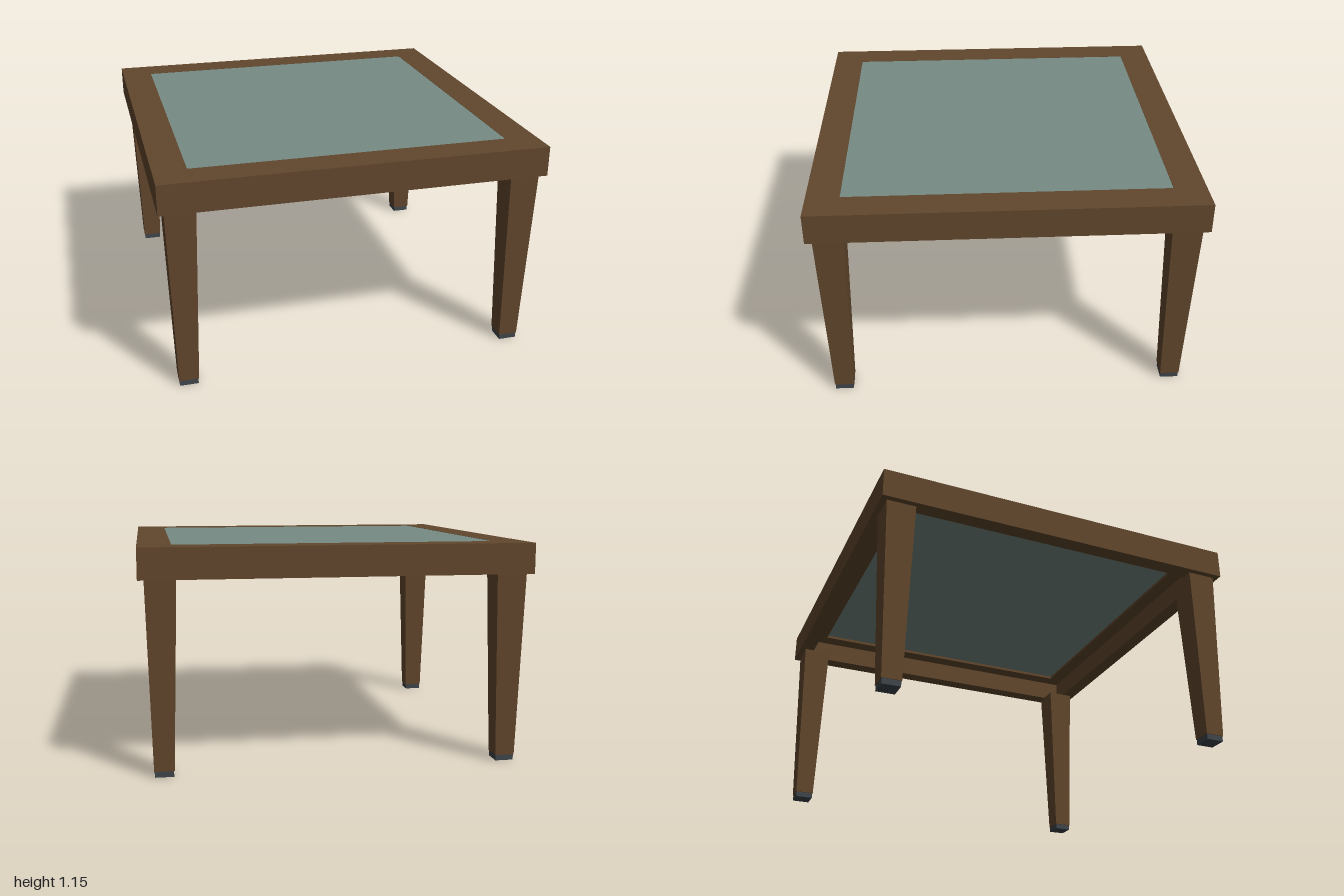
import * as THREE from 'three';

const wood = new THREE.MeshStandardMaterial({ color: 0x62472d });
wood.name = 'brown wood';
const glass = new THREE.MeshStandardMaterial({ color: 0x768b83 });
glass.name = 'grey green glass';
const rubber = new THREE.MeshStandardMaterial({ color: 0x3f454a });
rubber.name = 'dark foot pad';

const BOTTOM = 0.995, LEDGE = 1.115, TOP = 1.153;

function add(parent, name, geometry, material, x = 0, y = 0, z = 0) {
  const mesh = new THREE.Mesh(geometry, material);
  mesh.name = name;
  mesh.position.set(x, y, z);
  parent.add(mesh);
  return mesh;
}

// Board along the +z side with mitred ends, standing on y = 0
function mitredBoard(outer, inner, height) {
  const shape = new THREE.Shape([
    new THREE.Vector2(-outer, -outer), new THREE.Vector2(outer, -outer),
    new THREE.Vector2(inner, -inner), new THREE.Vector2(-inner, -inner),
  ]);
  return new THREE.ExtrudeGeometry(shape, { depth: height, bevelEnabled: false }).rotateX(-Math.PI / 2);
}

// Square post that narrows evenly towards its foot
function taperedPost(topWidth, bottomWidth, height) {
  const r = Math.SQRT1_2;
  return new THREE.CylinderGeometry(topWidth * r, bottomWidth * r, height, 4, 1)
    .rotateY(Math.PI / 4).toNonIndexed();
}

export function createModel() {
  const table = new THREE.Group();
  table.name = 'table';

  // Frame: a deep apron under a wider, thinner top border
  const apron = mitredBoard(1, 0.915, LEDGE - BOTTOM);
  const border = mitredBoard(1, 0.83, TOP - LEDGE);
  for (let i = 0; i < 4; i++) {
    const side = new THREE.Group();
    side.name = 'frameSide';
    side.rotation.y = i * Math.PI / 2;
    add(side, 'apron', apron, wood, 0, BOTTOM, 0);
    add(side, 'topBorder', border, wood, 0, LEDGE, 0);
    table.add(side);
  }

  // Glass pane set flush into the border
  add(table, 'glassPane', new THREE.BoxGeometry(1.66, 0.02, 1.66), glass, 0, TOP - 0.011, 0);

  // Tapered legs with foot pads
  const post = taperedPost(0.156, 0.102, BOTTOM - 0.03);
  post.computeVertexNormals();
  const pad = new THREE.BoxGeometry(0.096, 0.03, 0.096);
  for (const x of [-1, 1]) for (const z of [-1, 1]) {
    const leg = new THREE.Group();
    leg.name = (z > 0 ? 'front' : 'back') + (x > 0 ? 'Left' : 'Right') + 'Leg';
    leg.position.set(x * 0.891, 0, z * 0.891);
    add(leg, 'post', post, wood, 0, (BOTTOM + 0.03) / 2, 0);
    add(leg, 'footPad', pad, rubber, 0, 0.015, 0);
    table.add(leg);
  }
  return table;
}
